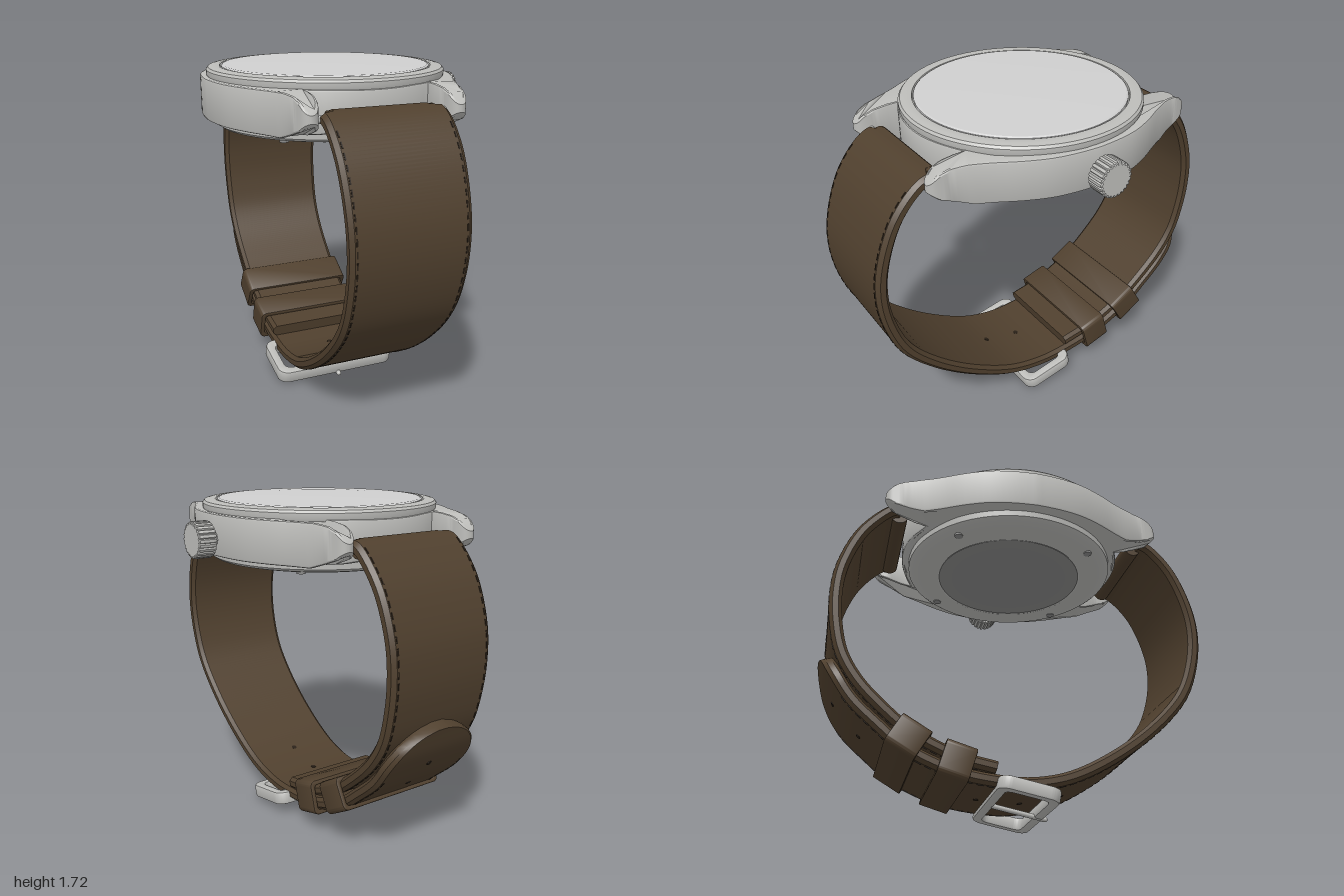
import * as THREE from 'three';
import { mergeGeometries, toCreasedNormals } from 'three/addons/utils/BufferGeometryUtils.js';

const mat = (name, color) => Object.assign(new THREE.MeshStandardMaterial({ color }), { name });

export function createModel() {
  const steel = mat('steel', 0xbdbdba);
  const glass = mat('glass', 0xcfcfcf);
  const backGlass = mat('back glass', 0x8c8c8b);
  const leather = mat('brown leather', 0x50402e);
  const dark = mat('dark stitching', 0x2a2118);

  const watch = new THREE.Group();
  watch.name = 'wristwatch';
  const body = new THREE.Group();
  body.name = 'watchBody';
  body.position.x = -0.06;
  watch.add(body);

  const add = (name, geo, material, x = 0, y = 0, z = 0, tilt = 0) => {
    const m = new THREE.Mesh(geo, material);
    m.name = name;
    m.position.set(x, y, z);
    m.rotation.x = tilt;
    body.add(m);
    return m;
  };
  const vec2 = (list) => list.map(([x, y]) => new THREE.Vector2(x, y));
  const lathe = (list) => toCreasedNormals(new THREE.LatheGeometry(vec2(list), 96), 0.45);

  // Piecewise-linear lookup
  const lookup = (table, v) => {
    if (v <= table[0][0]) return table[0][1];
    for (let i = 1; i < table.length; i++) {
      const [a, fa] = table[i - 1], [b, fb] = table[i];
      if (v <= b) return fa + (fb - fa) * (v - a) / (b - a);
    }
    return table[table.length - 1][1];
  };

  // Case with four lugs: one quarter outline, mirrored, extruded, then lugs bent to the side profile
  const lug = new THREE.SplineCurve(vec2([
    [0.63, 0], [0.62, 0.12], [0.595, 0.24], [0.545, 0.36], [0.485, 0.47], [0.447, 0.55], [0.422, 0.62],
    [0.41, 0.68], [0.397, 0.725], [0.37, 0.745], [0.338, 0.735], [0.32, 0.7], [0.312, 0.64], [0.31, 0.58],
  ])).getPoints(52);
  const quarter = [...lug];
  for (let i = 0; i <= 10; i++) {
    const a = THREE.MathUtils.lerp(Math.acos(0.31 / 0.61), Math.PI / 2, i / 10);
    quarter.push(new THREE.Vector2(0.61 * Math.cos(a), 0.61 * Math.sin(a)));
  }
  const flip = (pts, sx, sy) => pts.map((p) => new THREE.Vector2(p.x * sx, p.y * sy));
  const back = [...quarter].reverse();
  const outline = [
    ...quarter, ...flip(back, -1, 1).slice(1), ...flip(quarter, -1, -1).slice(1),
    ...flip(back, 1, -1).slice(1, -1),
  ];
  const caseGeo = new THREE.ExtrudeGeometry(new THREE.Shape(outline), {
    depth: 0.181, bevelSize: 0.012, bevelThickness: 0.012, bevelOffset: -0.012, bevelSegments: 2,
  });
  caseGeo.rotateX(-Math.PI / 2);
  const topLine = [[0.57, 1.66], [0.65, 1.65], [0.7, 1.63], [0.745, 1.585]];
  const bottomLine = [[0.55, 1.455], [0.7, 1.508], [0.745, 1.545]];
  const cp = caseGeo.attributes.position;
  for (let i = 0; i < cp.count; i++) {
    const z = Math.abs(cp.getZ(i));
    const t = (cp.getY(i) + 0.012) / 0.205;
    cp.setY(i, THREE.MathUtils.lerp(lookup(bottomLine, z), lookup(topLine, z), t));
  }
  add('caseWithLugs', toCreasedNormals(caseGeo, 0.5), steel);

  // Bezel, crystal, case back
  add('bezel', lathe([[0.6, 1.65], [0.605, 1.665], [0.605, 1.688], [0.595, 1.7], [0.575, 1.704], [0.545, 1.707],
    [0.537, 1.705], [0.534, 1.69], [0.5, 1.69]]), steel);
  add('crystal', lathe([[0.529, 1.685], [0.529, 1.704], [0.52, 1.71], [0.35, 1.716], [0.18, 1.719], [0, 1.72]]), glass);
  add('caseBack', lathe([[0.39, 1.4], [0.402, 1.39], [0.42, 1.388], [0.5, 1.4], [0.55, 1.412], [0.568, 1.425],
    [0.57, 1.46]]), steel);
  add('caseBackWindow', lathe([[0, 1.389], [0.385, 1.389], [0.395, 1.393], [0.395, 1.41]]), backGlass);
  for (let i = 0; i < 4; i++) {
    const a = Math.PI / 4 + i * Math.PI / 2;
    add('caseBackScrew', new THREE.CylinderGeometry(0.022, 0.022, 0.02, 16), backGlass,
      0.5 * Math.cos(a), 1.404, 0.5 * Math.sin(a));
  }

  // Fluted crown on a short stem
  const flutes = [];
  for (let i = 0; i < 96; i++) {
    const r = i % 4 < 2 ? 0.083 : 0.075, a = i / 96 * Math.PI * 2;
    flutes.push(new THREE.Vector2(r * Math.cos(a), r * Math.sin(a)));
  }
  const crown = new THREE.ExtrudeGeometry(new THREE.Shape(flutes),
    { depth: 0.071, bevelSize: 0.007, bevelThickness: 0.012, bevelSegments: 2 });
  crown.rotateY(Math.PI / 2);
  add('crown', toCreasedNormals(crown, 0.4), steel, 0.662, 1.54);
  add('crownStem', new THREE.CylinderGeometry(0.045, 0.045, 0.1, 24).rotateZ(Math.PI / 2), steel, 0.63, 1.54);

  // Strap halves: a flat rounded section swept along a curve in the side plane
  const HALF = 0.031;
  const section = [[-0.93, -1], [0.93, -1], [1, -0.45], [1, 0.45], [0.93, 1], [-0.93, 1], [-1, 0.45], [-1, -0.45]];
  const makePath = (pts) => {
    const curve = new THREE.CatmullRomCurve3(pts.map(([z, y]) => new THREE.Vector3(0, y, z)), false, 'centripetal');
    curve.arcLengthDivisions = 600;
    return curve;
  };
  const frame = (curve, u) => {
    const p = curve.getPointAt(u), t = curve.getTangentAt(u);
    return { p, t, n: new THREE.Vector3(0, t.z, -t.y) };
  };
  const sweep = (curve, width, steps = 200) => {
    const pos = [], index = [], k = section.length;
    for (let i = 0; i <= steps; i++) {
      const u = i / steps, { p, n } = frame(curve, u), w = width(u);
      for (const [sx, sn] of section) pos.push(sx * w, p.y + n.y * sn * HALF, p.z + n.z * sn * HALF);
      if (i === steps) break;
      for (let j = 0; j < k; j++) {
        const a = i * k + j, b = i * k + (j + 1) % k;
        index.push(a, b, b + k, a, b + k, a + k);
      }
    }
    const e = steps * k;
    for (let j = 1; j < k - 1; j++) index.push(0, j + 1, j, e, e + j, e + j + 1);
    const g = new THREE.BufferGeometry();
    g.setAttribute('position', new THREE.Float32BufferAttribute(pos, 3));
    g.setIndex(index);
    return toCreasedNormals(g, 0.5);
  };
  const basis = ({ t, n }, at) => new THREE.Matrix4()
    .makeBasis(new THREE.Vector3(1, 0, 0), n, t).setPosition(at);
  const stitches = (curve, width, side, end) => {
    const list = [], step = 0.05 / curve.getLength();
    for (let u = 0.05; u < end; u += step) {
      const f = frame(curve, u);
      for (const s of [-1, 1]) {
        const at = f.p.clone().addScaledVector(f.n, side * HALF);
        at.x = s * (width(u) - 0.03);
        list.push(new THREE.BoxGeometry(0.007, 0.005, 0.032).applyMatrix4(basis(f, at)));
      }
    }
    return mergeGeometries(list);
  };
  const taper = (u, reach) => u < 0.012 ? 0.255 : THREE.MathUtils.lerp(0.308, 0.275, Math.min(1, u / reach));

  // Long half runs from the front lugs through the buckle to a rounded tip
  const longPath = makePath([[0.64, 1.555], [0.7, 1.55], [0.76, 1.515], [0.865, 1.39], [0.95, 1.17], [0.968, 1],
    [0.94, 0.82], [0.87, 0.65], [0.72, 0.475], [0.5, 0.3], [0.25, 0.165], [0.05, 0.12], [-0.12, 0.122],
    [-0.325, 0.155], [-0.565, 0.255], [-0.7, 0.36], [-0.83, 0.48], [-0.92, 0.62], [-0.97, 0.75]]);
  const longWidth = (u) => {
    const q = Math.max(0, (u - 0.93) / 0.07);
    return taper(u, 0.6) * Math.max(0.12, Math.sqrt(Math.max(0, 1 - q * q)));
  };
  add('longStrap', sweep(longPath, longWidth), leather);
  add('longStrapStitching', stitches(longPath, longWidth, 1, 0.92), dark);
  for (const u of [0.55, 0.615, 0.68, 0.745, 0.81, 0.875, 0.935]) {
    const f = frame(longPath, u);
    const hole = add('strapHole', new THREE.CylinderGeometry(0.014, 0.014, 2 * HALF + 0.004, 16), dark);
    hole.geometry.applyMatrix4(basis(f, f.p));
  }

  // Short half runs from the rear lugs down inside the keepers
  const shortPath = makePath([[-0.64, 1.555], [-0.69, 1.55], [-0.74, 1.515], [-0.85, 1.38], [-0.93, 1.17],
    [-0.945, 1], [-0.93, 0.85], [-0.89, 0.7], [-0.81, 0.57], [-0.68, 0.44], [-0.53, 0.325], [-0.305, 0.225],
    [-0.12, 0.187]]);
  const shortWidth = (u) => taper(u, 1);
  add('shortStrap', sweep(shortPath, shortWidth, 140), leather);
  add('shortStrapStitching', stitches(shortPath, shortWidth, -1, 0.97), dark);

  // Spring bars and the leather wrapped round them
  for (const s of [-1, 1]) {
    add('springBar', new THREE.CylinderGeometry(0.018, 0.018, 0.66, 16).rotateZ(Math.PI / 2), steel, 0, 1.55, s * 0.675);
    add('strapFold', new THREE.CylinderGeometry(0.045, 0.045, 0.52, 24).rotateZ(Math.PI / 2), leather, 0, 1.54, s * 0.66);
  }

  // Rounded rectangular rings for keepers and buckle
  const roundRect = (target, w, h, r) => {
    const x = w / 2, y = h / 2;
    target.moveTo(-x + r, -y).lineTo(x - r, -y).absarc(x - r, -y + r, r, -Math.PI / 2, 0)
      .absarc(x - r, y - r, r, 0, Math.PI / 2).absarc(-x + r, y - r, r, Math.PI / 2, Math.PI)
      .absarc(-x + r, -y + r, r, Math.PI, Math.PI * 1.5);
    return target;
  };
  const ring = (w, h, r, wallX, wallY, depth, bevel) => {
    const shape = roundRect(new THREE.Shape(), w, h, r);
    shape.holes.push(roundRect(new THREE.Path(), w - 2 * wallX, h - 2 * wallY, r * 0.6));
    const g = new THREE.ExtrudeGeometry(shape, {
      depth: depth - 2 * bevel, bevelSize: bevel, bevelThickness: bevel, bevelOffset: -bevel,
      bevelSegments: 2, curveSegments: 8,
    });
    return toCreasedNormals(g.translate(0, 0, bevel - depth / 2), 0.6);
  };
  add('fixedKeeper', ring(0.62, 0.178, 0.03, 0.025, 0.024, 0.155, 0.005), leather, 0, 0.195, -0.316, 0.28);
  add('slidingKeeper', ring(0.62, 0.17, 0.03, 0.025, 0.022, 0.165, 0.005), leather, 0, 0.295, -0.55, 0.53);

  // Buckle frame and tongue
  add('buckleFrame', ring(0.68, 0.31, 0.06, 0.05, 0.05, 0.07, 0.012).rotateX(-Math.PI / 2), steel, 0, 0.075, 0.03, 0.19);
  add('buckleTongue', new THREE.CapsuleGeometry(0.013, 0.27, 6, 16).rotateX(Math.PI / 2), steel, 0, 0.042, 0.055, 0.19);

  return watch;
}
